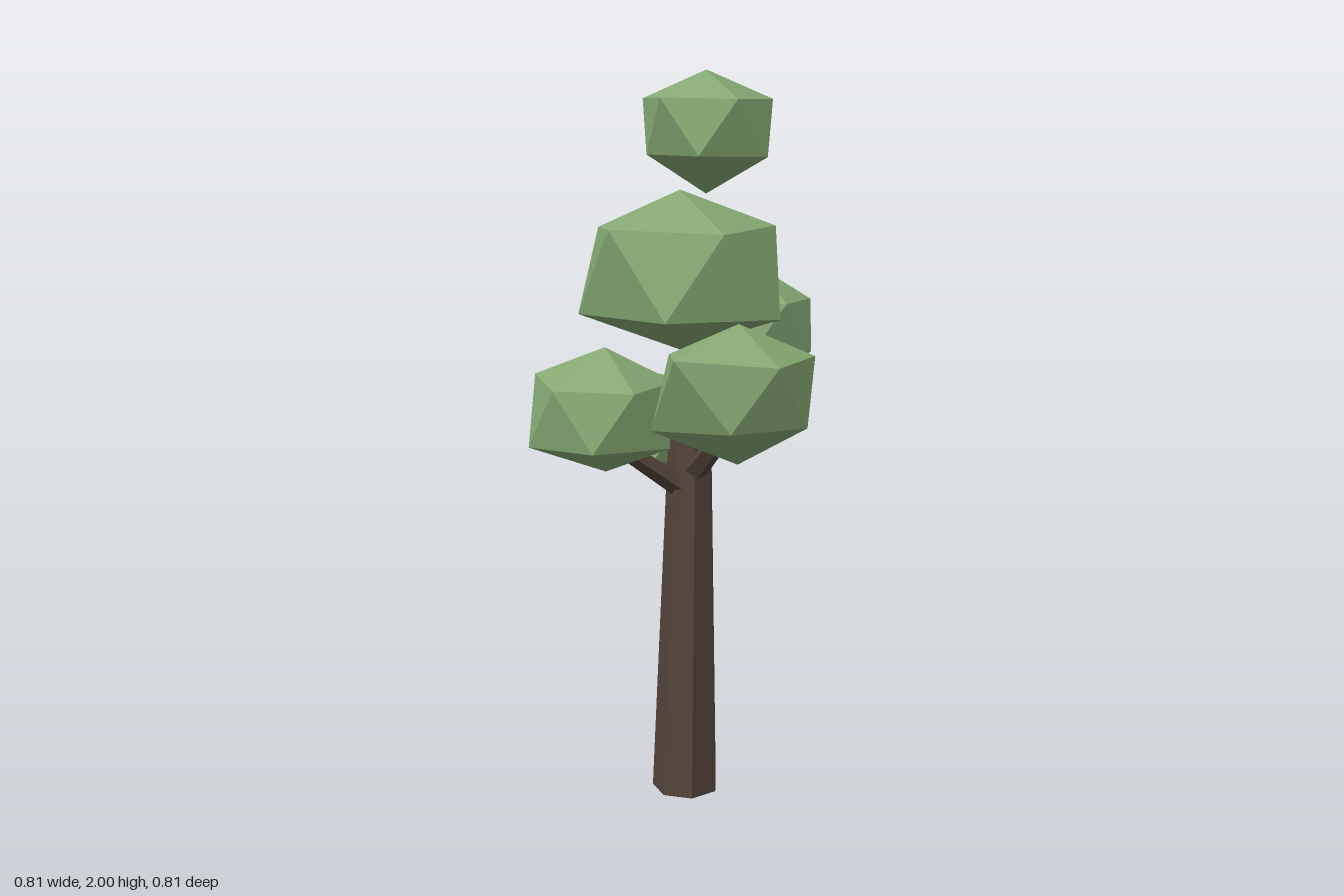
import * as THREE from 'three';

const bark = new THREE.MeshStandardMaterial({ color: 0x54443a, flatShading: true });
bark.name = 'bark brown';
const leaf = new THREE.MeshStandardMaterial({ color: 0x86aa74, flatShading: true });
leaf.name = 'leaf green';

const SQUASH = 0.425; // ring height per unit of ring radius

// Irregular, flattened icosahedron: two poles and two staggered rings of five.
// upper radii sit at 0, 72, ... degrees; lower radii at 36, 108, ... degrees.
function clump(name, centre, topH, bottomH, upper, lower) {
  const point = (r, degrees, side) => {
    const a = THREE.MathUtils.degToRad(degrees);
    return [r * Math.cos(a), side * r * SQUASH, r * Math.sin(a)];
  };
  const positions = [
    [0, topH, 0],
    ...upper.map((r, i) => point(r, i * 72, 1)),
    ...lower.map((r, i) => point(r, i * 72 + 36, -1)),
    [0, -bottomH, 0],
  ].flat();
  const index = [];
  for (let i = 0; i < 5; i++) {
    const j = (i + 1) % 5;
    const u = 1 + i, u2 = 1 + j, l = 6 + i, l2 = 6 + j;
    index.push(0, u2, u, u, u2, l, l, u2, l2, 11, l, l2);
  }
  const indexed = new THREE.BufferGeometry();
  indexed.setAttribute('position', new THREE.Float32BufferAttribute(positions, 3));
  indexed.setIndex(index);
  const geometry = indexed.toNonIndexed();
  geometry.computeVertexNormals();
  const mesh = new THREE.Mesh(geometry, leaf);
  mesh.name = name;
  mesh.position.set(...centre);
  return mesh;
}

// Tapered limb between two points
function branch(name, from, to, r0, r1) {
  const a = new THREE.Vector3(...from);
  const b = new THREE.Vector3(...to);
  const dir = b.clone().sub(a);
  const mesh = new THREE.Mesh(new THREE.CylinderGeometry(r1, r0, dir.length(), 5), bark);
  mesh.name = name;
  mesh.position.copy(a).add(b).multiplyScalar(0.5);
  mesh.quaternion.setFromUnitVectors(new THREE.Vector3(0, 1, 0), dir.normalize());
  return mesh;
}

export function createModel() {
  const tree = new THREE.Group();
  tree.name = 'tree';

  // Seven-sided trunk, leaning slightly to its left
  const trunkGeometry = new THREE.CylinderGeometry(0.058, 0.095, 1.14, 7);
  trunkGeometry.translate(0, 0.57, 0);
  trunkGeometry.applyMatrix4(new THREE.Matrix4().makeShear(0, 0, 0.012, 0, 0, 0));
  const trunk = new THREE.Mesh(trunkGeometry, bark);
  trunk.name = 'trunk';
  trunk.position.x = 0.033;
  tree.add(trunk);

  // Branches reaching into the side clumps
  tree.add(
    branch('rightBranch', [0.04, 0.87, 0.01], [-0.18, 1.03, 0.07], 0.034, 0.024),
    branch('frontBranch', [0.045, 0.92, 0.02], [0.1, 1.07, 0.2], 0.034, 0.024),
    branch('leftBranch', [0.05, 1.03, -0.01], [0.21, 1.25, -0.085], 0.034, 0.024),
    branch('backBranch', [0.04, 0.78, -0.02], [0.01, 0.96, -0.2], 0.034, 0.024),
  );

  // Foliage
  tree.add(
    clump('topFoliage', [0.085, 1.85, 0], 0.15, 0.17,
      [0.18, 0.163, 0.175, 0.188, 0.22], [0.176, 0.172, 0.16, 0.17, 0.212]),
    clump('crownFoliage', [0.02, 1.48, -0.03], 0.21, 0.22,
      [0.265, 0.237, 0.267, 0.25, 0.284], [0.293, 0.28, 0.277, 0.315, 0.27]),
    clump('frontFoliage', [0.13, 1.18, 0.21], 0.175, 0.195,
      [0.205, 0.2, 0.243, 0.2, 0.19], [0.193, 0.19, 0.23, 0.19, 0.193]),
    clump('rightFoliage', [-0.2, 1.11, 0.075], 0.175, 0.16,
      [0.185, 0.174, 0.186, 0.215, 0.19], [0.19, 0.184, 0.205, 0.22, 0.19]),
    clump('leftFoliage', [0.25, 1.32, -0.1], 0.16, 0.16,
      [0.155, 0.157, 0.16, 0.16, 0.185], [0.165, 0.155, 0.155, 0.158, 0.145]),
    clump('backFoliage', [0, 1.015, -0.225], 0.15, 0.155,
      [0.17, 0.185, 0.18, 0.23, 0.174], [0.175, 0.18, 0.165, 0.19, 0.212]),
  );
  return tree;
}
